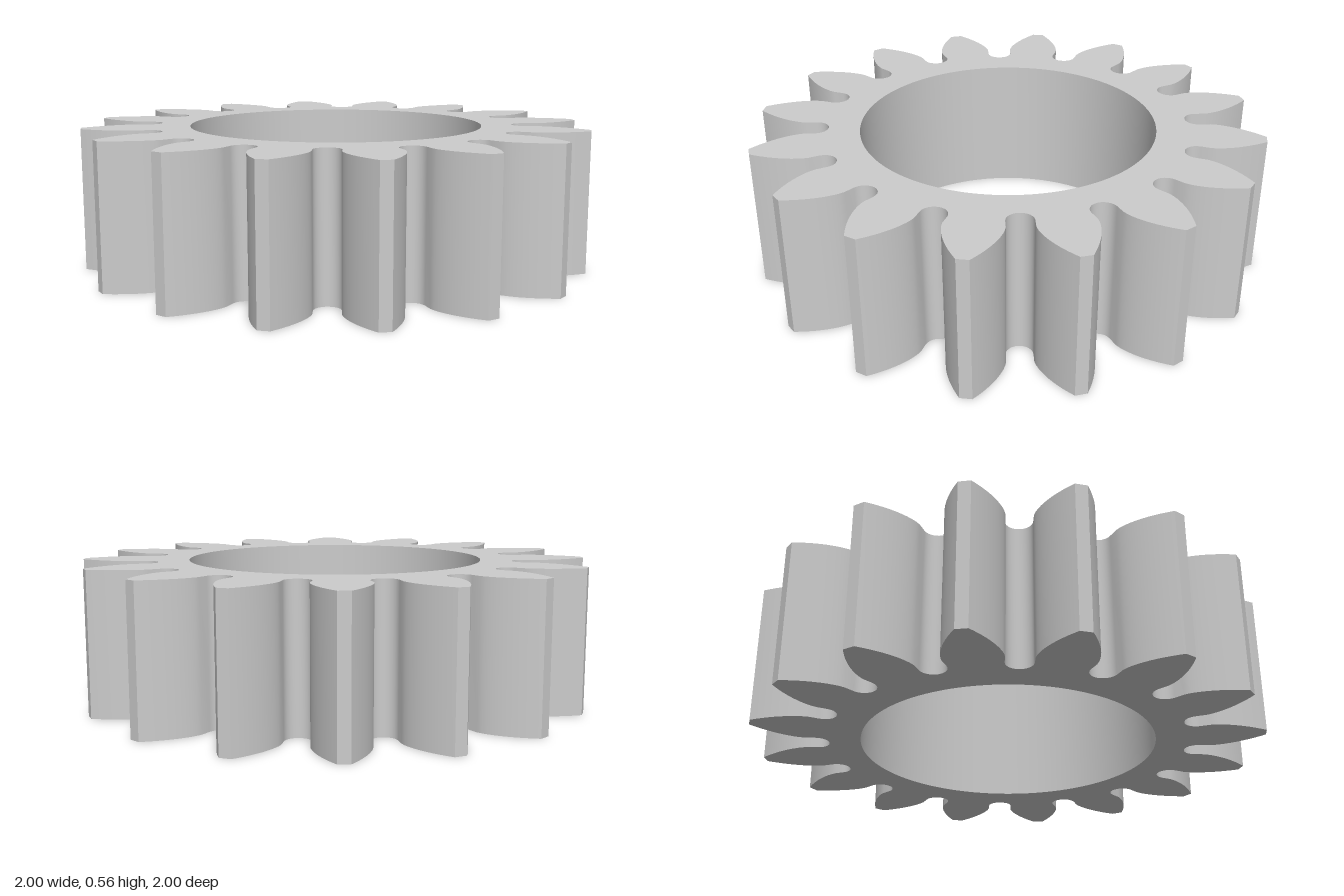
import * as THREE from 'three';
import { toCreasedNormals } from 'three/addons/utils/BufferGeometryUtils.js';

const TEETH = 16, TIP_R = 1.0044, BORE_R = 0.582, HEIGHT = 0.557;
const DEG = Math.PI / 180;
const FIRST_TOOTH = 6.75 * DEG;
const PITCH = (2 * Math.PI) / TEETH;
const BASE_R = 0.799, TIP_HALF = 1.3 * DEG; // involute base circle, half angle of tip land
const ROOT_R = 0.705;

// Half angle of a tooth at radius r (involute flank)
function involute(r) {
  const a = Math.acos(Math.min(1, BASE_R / r));
  return Math.tan(a) - a;
}
const halfAngle = (r) => TIP_HALF + involute(TIP_R) - involute(r);

function gearOutline() {
  const pts = [];
  const polar = (r, a) => pts.push(new THREE.Vector2(r * Math.cos(a), r * Math.sin(a)));
  const steps = 10;
  const gapHalf = PITCH / 2 - halfAngle(BASE_R);
  const filletR = 0.768 * Math.sin(gapHalf) + 0.002;
  const filletC = ROOT_R + filletR;

  for (let i = 0; i < TEETH; i++) {
    const mid = FIRST_TOOTH + i * PITCH;
    // rising flank, tip land, falling flank
    for (let k = 0; k <= steps; k++) {
      const r = BASE_R + ((TIP_R - BASE_R) * k) / steps;
      polar(r, mid - halfAngle(r));
    }
    for (let k = steps; k >= 0; k--) {
      const r = BASE_R + ((TIP_R - BASE_R) * k) / steps;
      polar(r, mid + halfAngle(r));
    }
    // rounded root between this tooth and the next
    const gap = mid + PITCH / 2;
    for (let k = 0; k <= 12; k++) {
      const t = (Math.PI * k) / 12;
      const u = filletC - filletR * Math.sin(t);
      const v = -filletR * Math.cos(t);
      polar(Math.hypot(u, v), gap + Math.atan2(v, u));
    }
  }
  return pts;
}

export function createModel() {
  const group = new THREE.Group();
  group.name = 'spurGear';

  // Toothed ring with a plain round bore
  const shape = new THREE.Shape(gearOutline());
  const bore = new THREE.Path();
  bore.absarc(0, 0, BORE_R, 0, Math.PI * 2, true);
  shape.holes.push(bore);

  let geometry = new THREE.ExtrudeGeometry(shape, {
    depth: HEIGHT, bevelEnabled: false, curveSegments: 96,
  });
  geometry.rotateX(-Math.PI / 2);
  geometry = toCreasedNormals(geometry, 35 * DEG);

  const ring = new THREE.Mesh(geometry, new THREE.MeshStandardMaterial({ color: 0xcccccc }));
  ring.name = 'toothedRing';
  group.add(ring);
  return group;
}
